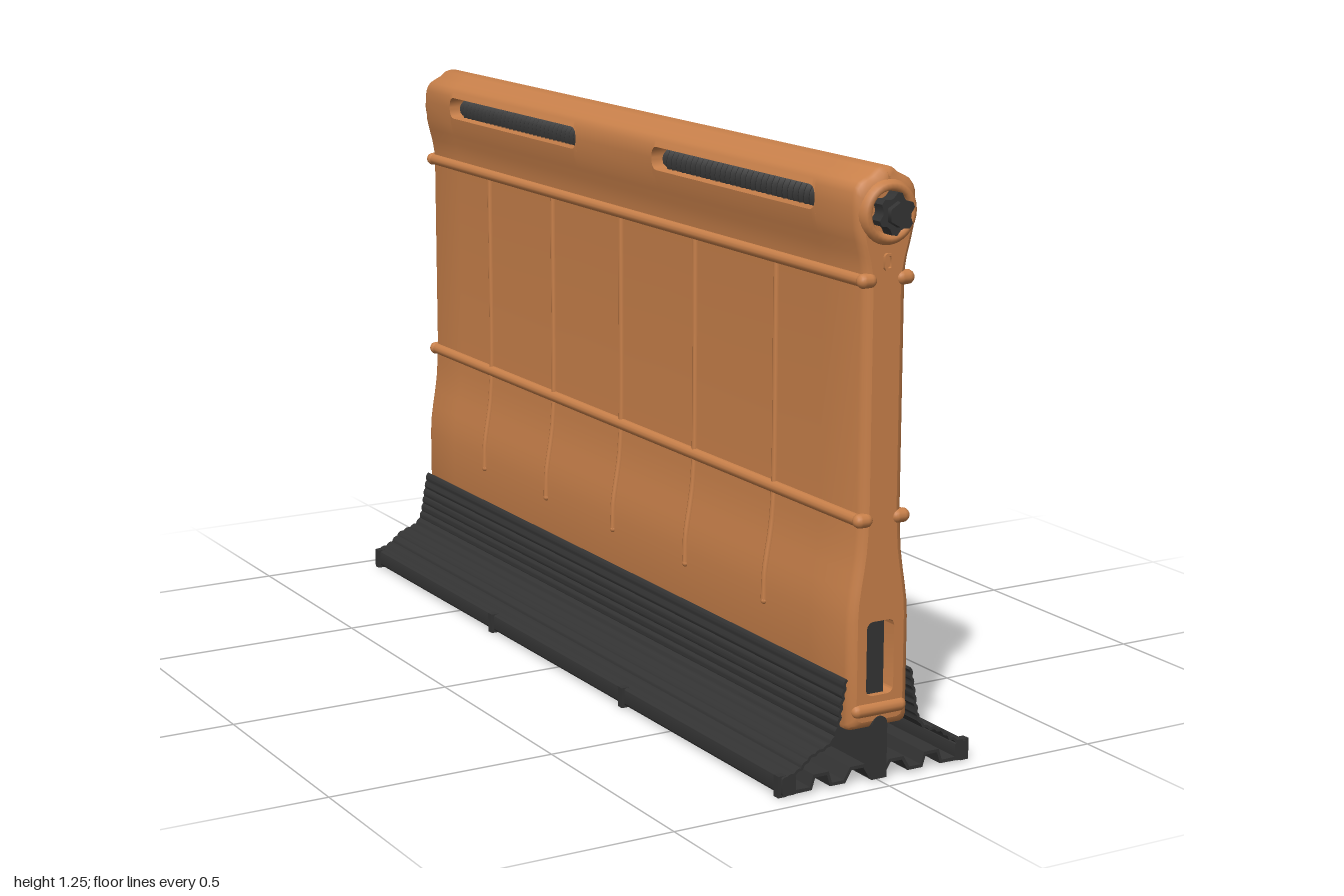
import * as THREE from 'three';
import { toCreasedNormals } from 'three/addons/utils/BufferGeometryUtils.js';

const orange = new THREE.MeshStandardMaterial({ color: 0xc8804a });
orange.name = 'orange plastic';
const dark = new THREE.MeshStandardMaterial({ color: 0x343434, side: THREE.DoubleSide });
dark.name = 'dark rubber';
const orangeInside = orange; // pocket walls are given inward faces

const V2 = (x, y) => new THREE.Vector2(x, y);
const AXLE_Y = 1.157, END = 0.96;

// Right half of the wall section, below and above the handle windows
const lower = [[0.06, 0.11], [0.069, 0.114], [0.073, 0.123], [0.073, 0.33], [0.071, 0.365], [0.066, 0.4], [0.06, 0.435],
  [0.055, 0.47], [0.052, 0.51], [0.05, 0.56], [0.05, 1.02], [0.052, 1.05], [0.057, 1.077], [0.064, 1.102], [0.07, 1.128]];
const upper = [[0.071, 1.197], [0.067, 1.208], [0.06, 1.217], [0.045, 1.225], [0.032, 1.231], [0.02, 1.241], [0.008, 1.245]];

// Closed section; h is the half height of the window, d insets the rounded ends
function section(h, d) {
  const floor = h > 0 ? 0.03 : 0.0725;
  const half = [...lower, [0.0725, 1.17 - h], [floor, 1.17 - h], [floor, 1.17 + h], [0.0725, 1.17 + h], ...upper]
    .map(([x, y]) => V2(Math.max(x - d, 0.002), y + d * (0.68 - y) / 0.57));
  return [...half, ...half.slice().reverse().map(p => V2(-p.x, p.y))];
}

function wallGeometry() {
  // Stations [z, window half height, inset] from the middle to one end
  const st = [[0.17, 0, 0]];
  const corner = [0, 0.003, 0.008, 0.014, 0.02];
  const h = u => 0.005 + Math.sqrt(0.0004 - (0.02 - u) ** 2);
  corner.forEach(u => st.push([0.17 + u, h(u), 0]));
  corner.slice().reverse().forEach(u => st.push([0.81 - u, h(u), 0]));
  st.push([0.81, 0, 0], [0.94, 0, 0], [0.949, 0, 0.003], [0.956, 0, 0.009], [END, 0, 0.018]);
  const all = [...st.slice().reverse().map(([z, a, d]) => [-z, a, d]), ...st];
  const pos = [], idx = [];
  let n = 0;
  all.forEach(([z, a, d], i) => {
    const ring = section(a, d);
    n = ring.length;
    ring.forEach(p => pos.push(p.x, p.y, z));
    if (i) for (let j = 0; j < n; j++) {
      const A = (i - 1) * n + j, B = (i - 1) * n + (j + 1) % n;
      idx.push(A, B, B + n, A, B + n, A + n);
    }
  });
  const g = new THREE.BufferGeometry();
  g.setAttribute('position', new THREE.Float32BufferAttribute(pos, 3));
  g.setIndex(idx);
  return toCreasedNormals(g, 0.7);
}

function roundedRect(target, x0, y0, x1, y1, r) {
  target.moveTo(x1, y0 + r);
  target.absarc(x1 - r, y1 - r, r, 0, Math.PI / 2);
  target.absarc(x0 + r, y1 - r, r, Math.PI / 2, Math.PI);
  target.absarc(x0 + r, y0 + r, r, Math.PI, Math.PI * 1.5);
  target.absarc(x1 - r, y0 + r, r, Math.PI * 1.5, Math.PI * 2);
  return target;
}

function extrudeZ(shape, z0, z1) {
  const g = new THREE.ExtrudeGeometry(shape, { depth: z1 - z0, bevelEnabled: false, curveSegments: 6 });
  return toCreasedNormals(g.translate(0, 0, z0), 0.6);
}

// Sheet of given thickness that follows a line in the section plane
function sheetShape(points, t) {
  const a = [], b = [];
  points.forEach((p, i) => {
    const d = points[Math.min(i + 1, points.length - 1)].clone().sub(points[Math.max(i - 1, 0)]).normalize();
    a.push(V2(p.x - d.y * t / 2, p.y + d.x * t / 2));
    b.push(V2(p.x + d.y * t / 2, p.y - d.x * t / 2));
  });
  return new THREE.Shape([...a, ...b.reverse()]);
}

function tube(points, r, steps) {
  return new THREE.TubeGeometry(new THREE.CatmullRomCurve3(points), steps, r, 8);
}

export function createModel() {
  const model = new THREE.Group();
  const add = (name, geo, mat, parent = model) => {
    const m = new THREE.Mesh(geo, mat);
    m.name = name;
    parent.add(m);
    return m;
  };

  // Wall panel with handle windows
  add('wallPanel', wallGeometry(), orange);

  // End details, built at +z and turned round for the other end
  for (const turn of [0, Math.PI]) {
    const end = new THREE.Group();
    end.name = turn ? 'backEnd' : 'frontEnd';
    end.rotation.y = turn;
    model.add(end);

    const face = new THREE.Shape(section(0, 0.018));
    face.holes.push(roundedRect(new THREE.Path(), -0.033, 0.18, 0.033, 0.335, 0.015));
    add('endFace', new THREE.ShapeGeometry(face, 6), orange, end).position.z = END;

    // Pocket around the keel
    const pocket = roundedRect(new THREE.Shape(), -0.04, 0.173, 0.04, 0.342, 0.018);
    pocket.holes.push(roundedRect(new THREE.Path(), -0.033, 0.18, 0.033, 0.335, 0.015));
    add('pocketWall', extrudeZ(pocket, 0.88, END - 0.001), orangeInside, end);
    add('pocketFloor', new THREE.PlaneGeometry(0.07, 0.16).translate(0, 0.257, 0.89), orange, end);

    // Boss around the axle
    const boss = [[0.04, 0.955], [0.044, 0.968], [0.05, 0.974], [0.058, 0.971], [0.064, 0.963], [0.066, 0.95]];
    const bossGeo = new THREE.LatheGeometry(boss.map(p => V2(...p)).reverse(), 32);
    add('axleBoss', bossGeo.rotateX(Math.PI / 2).translate(0, AXLE_Y, 0), orange, end);

    // Small raised latch frame
    const latch = roundedRect(new THREE.Shape(), -0.01, 1.043, 0.01, 1.077, 0.007);
    latch.holes.push(roundedRect(new THREE.Path(), -0.005, 1.043 + 0.005, 0.005, 1.072, 0.004));
    add('latchFrame', extrudeZ(latch, 0.955, 0.966), orange, end);

    // Bead ends and foot bead
    for (const y of [0.545, 1.025]) for (const s of [-1, 1]) {
      const g = new THREE.CapsuleGeometry(0.015, 0.013, 5, 12).rotateZ(Math.PI / 2);
      add('beadEnd', g.translate(s * 0.044, y, 0.953), orange, end);
    }
    add('footBead', new THREE.CapsuleGeometry(0.015, 0.1, 5, 12).rotateZ(Math.PI / 2).translate(0, 0.152, 0.954), orange, end);

    // Star shaped axle head
    const star = [];
    for (let i = 0; i < 24; i++) {
      const a = i / 24 * Math.PI * 2, r = i % 4 < 2 ? 0.042 : 0.033;
      star.push(V2(Math.sin(a) * r, AXLE_Y + Math.cos(a) * r));
    }
    add('axleHead', extrudeZ(new THREE.Shape(star), 0.94, 0.99), dark, end);
    add('axleTip', new THREE.CylinderGeometry(0.024, 0.028, 0.02, 6).rotateX(Math.PI / 2).translate(0, AXLE_Y, 0.99), dark, end);
  }

  // Ribbed axle seen through the windows
  const thread = [];
  for (let i = 0; i <= 164; i++) thread.push(V2(i % 2 ? 0.046 : 0.041, -0.82 + i * 0.01));
  add('axle', toCreasedNormals(new THREE.LatheGeometry(thread, 20).rotateX(Math.PI / 2).translate(0, AXLE_Y, 0), 0.4), dark);

  // Long beads on both sides
  for (const y of [0.545, 1.025]) for (const s of [-1, 1]) {
    const bead = new THREE.CapsuleGeometry(0.013, 1.9, 4, 12).rotateX(Math.PI / 2);
    add('sideBead', bead.translate(s * 0.05, y, 0), orange);
  }

  // Upright ribs on the right side
  for (let i = -2; i <= 2; i++) {
    const path = lower.filter(p => p[1] > 0.35 && p[1] < 1.03).map(([x, y]) => new THREE.Vector3(-x, y, i * 0.32));
    path.unshift(new THREE.Vector3(-0.073, 0.305, i * 0.32));
    add('uprightRib', tube(path, 0.0075, 40), orange);
    add('ribFoot', new THREE.SphereGeometry(0.0078, 10, 8).translate(-0.073, 0.304, i * 0.32), orange);
  }

  // Keel that carries the wall
  const keel = new THREE.Shape();
  keel.moveTo(-0.018, 0.004);
  keel.lineTo(0.018, 0.004);
  keel.lineTo(0.018, 0.118);
  keel.absarc(0, 0.118, 0.018, 0, Math.PI);
  add('keel', extrudeZ(keel, -0.963, 0.963), dark);
  for (const s of [-1, 1]) add('keelTongue', new THREE.BoxGeometry(0.036, 0.17, 0.06).translate(0, 0.257, s * 0.915), dark);

  // Corrugated base sheet
  const wave = [V2(-0.2, 0.009)];
  for (let v = -2; v <= 2; v++) {
    const c = v * 0.08 + Math.sign(v) * 0.014;
    wave.push(V2(c - 0.016, 0.009), V2(c + 0.016, 0.009));
    if (v < 2) {
      const next = (v + 1) * 0.08 + Math.sign(v + 1) * 0.014, m = (c + next) / 2;
      wave.push(V2(m - 0.016, 0.034), V2(m + 0.016, 0.034));
    }
  }
  wave.push(V2(0.2, 0.009));
  add('baseSheet', extrudeZ(sheetShape(wave, 0.008), -0.955, 0.955), dark);

  // Ridged skirts, edge rails and clips
  for (const s of [-1, 1]) {
    const line = new THREE.SplineCurve([[0.075, 0.222], [0.083, 0.18], [0.096, 0.115], [0.115, 0.09], [0.155, 0.074],
      [0.185, 0.05], [0.215, 0.038]].map(p => V2(...p)));
    const ridged = line.getSpacedPoints(72).map((p, i) => {
      const t = line.getTangentAt(i / 72), b = 0.004 * Math.abs(Math.sin(i / 72 * Math.PI * 13));
      return V2(s * (p.x - t.y * b), p.y + t.x * b);
    });
    add('skirt', extrudeZ(sheetShape(ridged, 0.006), -0.955, 0.955), dark);

    const rail = roundedRect(new THREE.Shape(), s * 0.209 - 0.016, 0.004, s * 0.209 + 0.016, 0.044, 0.007);
    add('edgeRail', extrudeZ(rail, -0.955, 0.955), dark);
    for (const z of [-0.94, -0.31, 0.31, 0.94])
      add('railClip', new THREE.BoxGeometry(0.02, 0.045, 0.018).translate(s * 0.221, 0.0225, z), dark);
  }
  return model;
}
